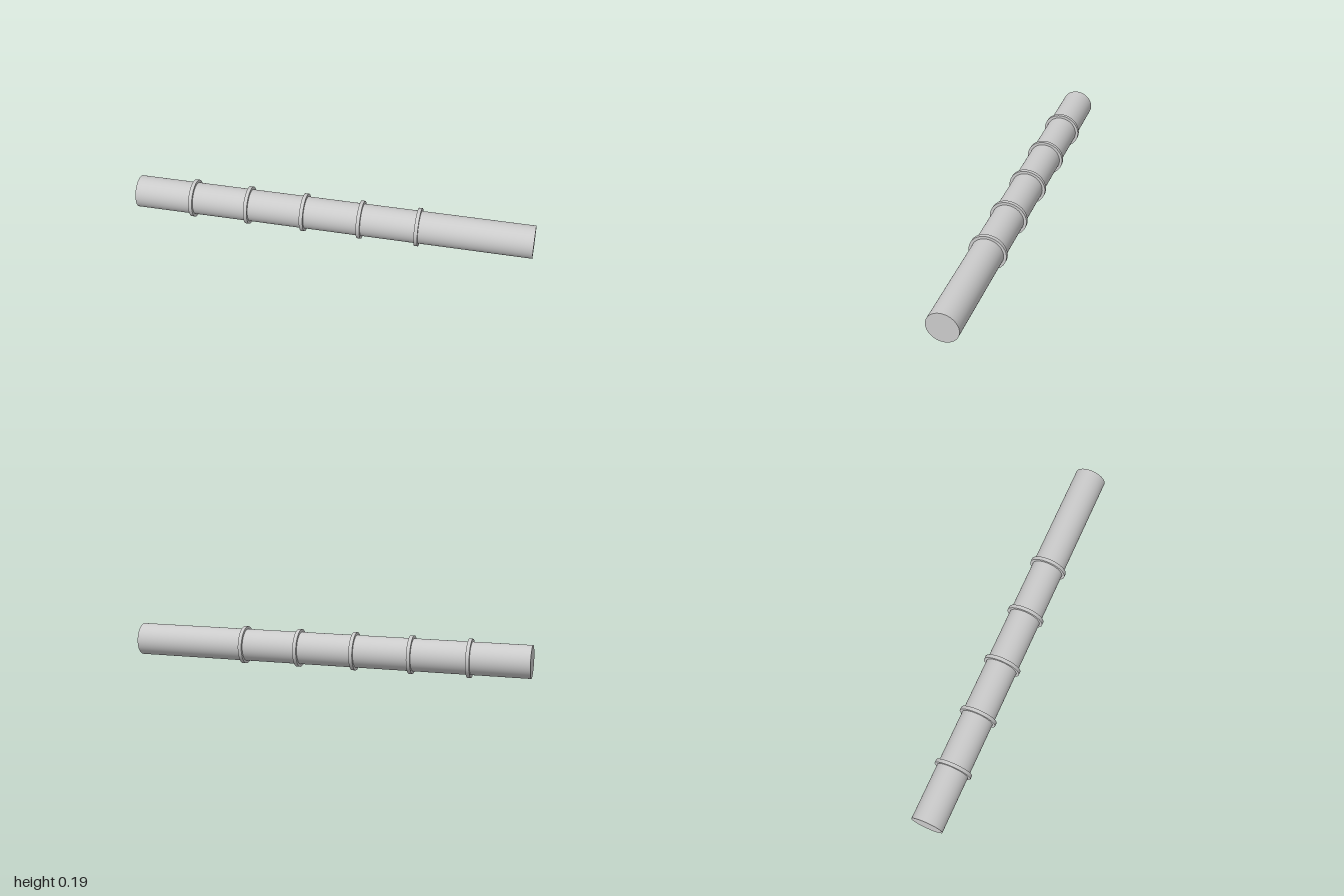
import * as THREE from 'three';

export function createModel() {
  const group = new THREE.Group();
  group.name = 'ribbedPipe';
  const material = new THREE.MeshStandardMaterial({ color: 0xcccccc });
  const ringRadius = 0.094, pipeRadius = 0.08, ringWidth = 0.018;

  // Smooth closed cylinder lying along x, resting height set by the rings
  const addCylinder = (name, radius, length, x) => {
    const geometry = new THREE.CylinderGeometry(radius, radius, length, 96);
    geometry.rotateZ(-Math.PI / 2);
    const mesh = new THREE.Mesh(geometry, material);
    mesh.name = name;
    mesh.position.set(x, ringRadius, 0);
    group.add(mesh);
  };

  // Main pipe
  addCylinder('pipe', pipeRadius, 2, 0);

  // Five evenly spaced collars, each starting on a seventh of the length
  for (let i = 0; i < 5; i++) {
    addCylinder(`collar${i + 1}`, ringRadius, ringWidth, -1 + (2 / 7) * (i + 1) + ringWidth / 2);
  }
  return group;
}
